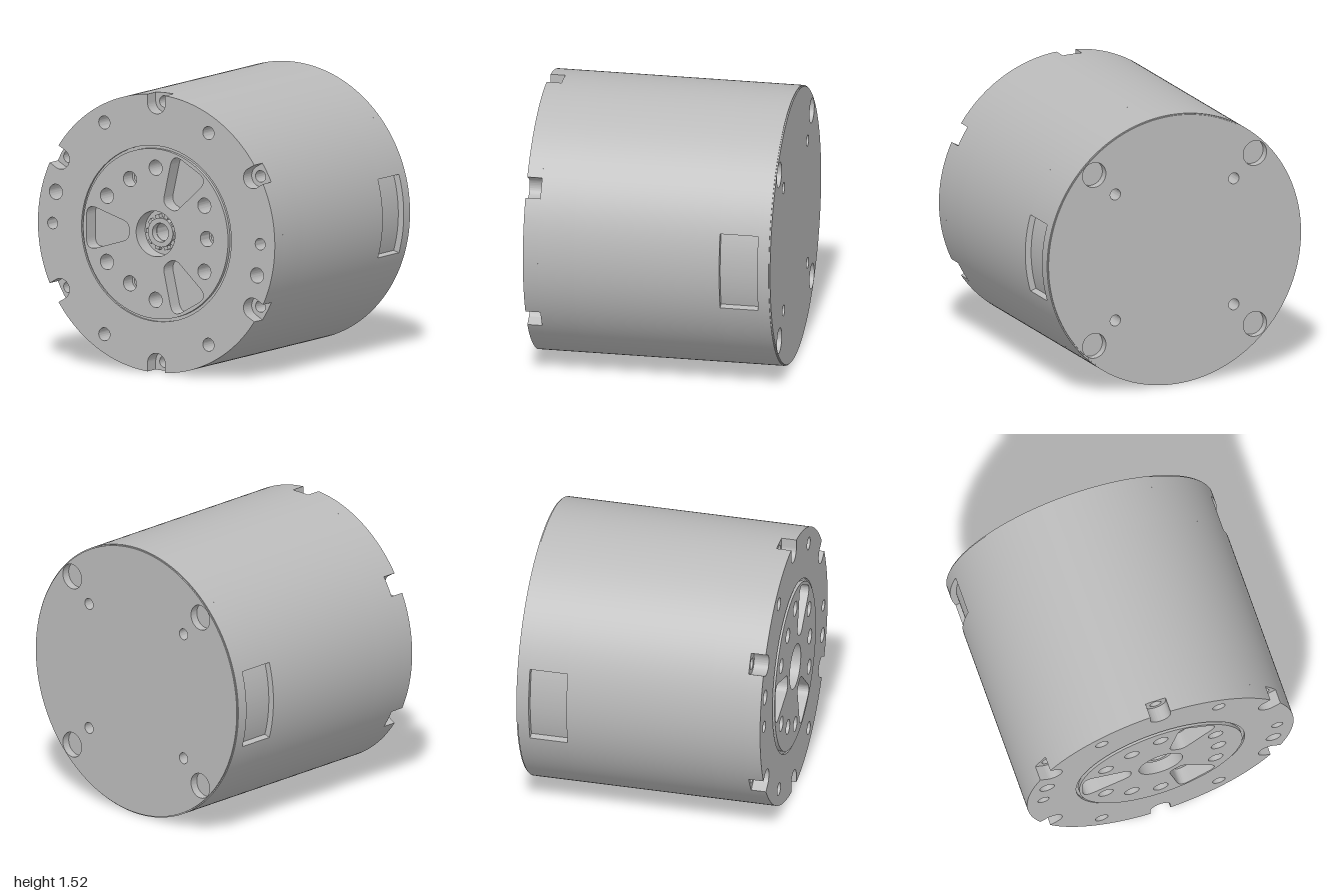
import * as THREE from 'three';
import { toCreasedNormals } from 'three/addons/utils/BufferGeometryUtils.js';

const R = 0.762, PI = Math.PI;
const rad = (d) => (d * PI) / 180;

// Full disc outline made of six arcs
function disc(r) {
  const s = new THREE.Shape();
  for (let i = 0; i < 6; i++) s.absarc(0, 0, r, rad(i * 60), rad(i * 60 + 60), false);
  return s;
}

// Disc with six U-shaped screw notches in its rim
function notchedDisc() {
  const s = new THREE.Shape(), w = 0.057, d = Math.asin(w / R), c = 0.713;
  for (let i = 0; i < 6; i++) {
    const a = rad(30 + i * 60);
    s.absarc(0, 0, R, a - rad(60) + d, a - d, false);
    s.absarc(c * Math.cos(a), c * Math.sin(a), w, a - PI / 2, a - 1.5 * PI, true);
  }
  s.closePath();
  return s;
}

// Disc with a shallow rectangular pocket on each side
function pocketDisc() {
  const s = new THREE.Shape(), d = 0.286;
  for (const a of [0, PI]) {
    s.absarc(0, 0, R - 0.035, a - d, a + d, false);
    s.absarc(0, 0, R, a + d, a + PI / 2, false);
    s.absarc(0, 0, R, a + PI / 2, a + PI - d, false);
  }
  s.closePath();
  return s;
}

function hole(x, y, r) {
  return new THREE.Path().absarc(x, y, r, 0, 2 * PI, true);
}

// Holes at given angles on a pitch circle
function ringHoles(pitch, r, degrees) {
  return degrees.map((d) => hole(pitch * Math.cos(rad(d)), pitch * Math.sin(rad(d)), r));
}

// Rounded trapezoid window pointing to the hub centre
function slot(deg) {
  const axis = new THREE.Vector2();
  const pts = [[0.17, -0.045], [0.445, -0.13], [0.445, 0.13], [0.17, 0.045]]
    .map(([x, y]) => new THREE.Vector2(x, y).rotateAround(axis, rad(deg)));
  const p = new THREE.Path();
  pts.forEach((c, i) => {
    const toward = (q, r) => c.clone().add(q.clone().sub(c).setLength(r));
    const r = i === 1 || i === 2 ? 0.07 : 0.04;
    const a = toward(pts[(i + 3) % 4], r), b = toward(pts[(i + 1) % 4], r);
    if (i === 0) p.moveTo(a.x, a.y); else p.lineTo(a.x, a.y);
    p.quadraticCurveTo(c.x, c.y, b.x, b.y);
  });
  p.closePath();
  return p;
}

export function createModel() {
  const model = new THREE.Group();
  model.name = 'motorHousing';
  const metal = new THREE.MeshStandardMaterial({ color: 0xbababa });
  metal.name = 'grey metal';

  const motor = new THREE.Group();
  motor.name = 'motor';
  model.add(motor);

  // Slab between two depths along the motor axis
  function slab(name, shape, z0, z1, holes = [], segs = 32) {
    shape.holes.push(...holes);
    const g = new THREE.ExtrudeGeometry(shape, { depth: z1 - z0, bevelEnabled: false, curveSegments: segs });
    g.translate(0, 0, z0);
    const m = new THREE.Mesh(toCreasedNormals(g, 0.5), metal);
    m.name = name;
    motor.add(m);
    return m;
  }

  const six = [0, 60, 120, 180, 240, 300];
  const sixOdd = six.map((d) => d + 30);
  const diagonals = [45, 135, 225, 315];

  // Back cover with counterbores and pin holes
  const pins = () => ringHoles(0.503, 0.031, diagonals);
  const bores = () => ringHoles(0.682, 0.07, diagonals);
  slab('backFace', disc(0.756), -0.68, -0.673, [...pins(), ...bores()]);
  slab('backCover', disc(R), -0.673, -0.635, [...pins(), ...bores()]);
  slab('backRim', disc(R), -0.635, -0.61, pins());

  // Barrel with the two side pockets
  slab('pocketBand', pocketDisc(), -0.61, -0.4, pins());
  slab('barrel', disc(R), -0.4, 0.4);

  // Hole patterns shared by the front layers
  const flangeHoles = () => [
    ...ringHoles(0.67, 0.036, [60, 120, 240, 300]),
    ...ringHoles(0.668, 0.032, [0, 180]),
    ...ringHoles(0.67, 0.042, [165, 345]),
  ];
  const hubHoles = () => [
    ...ringHoles(0.362, 0.042, sixOdd),
    ...ringHoles(0.33, 0.042, [0, 120, 240]),
  ];

  // Front layers: hole depth, then the notched flange around the hub
  slab('frontCore', disc(R), 0.4, 0.598, [
    ...ringHoles(0.713, 0.032, sixOdd), ...flangeHoles(), ...ringHoles(0.362, 0.042, sixOdd),
    ...ringHoles(0.33, 0.03, [0, 120, 240]), hole(0, 0, 0.05),
  ]);
  slab('frontFlange', notchedDisc(), 0.598, 0.68, [...flangeHoles(), hole(0, 0, 0.482)]);
  slab('grooveFloor', disc(0.482), 0.598, 0.668, [hole(0, 0, 0.464)]);
  slab('hub', disc(0.466), 0.598, 0.688, [
    ...hubHoles(), slot(60), slot(180), slot(300), hole(0, 0, 0.125),
  ]);

  // Shaft sleeve and its toothed retaining ring
  slab('shaftSleeve', disc(0.08), 0.598, 0.64, [hole(0, 0, 0.052)], 16);
  for (let i = 0; i < 10; i++) {
    const a = (i / 10) * 2 * PI;
    const tooth = new THREE.Mesh(new THREE.BoxGeometry(0.022, 0.025, 0.03), metal);
    tooth.name = 'ringTooth';
    tooth.position.set(0.088 * Math.cos(a), 0.088 * Math.sin(a), 0.613);
    tooth.rotation.z = a;
    motor.add(tooth);
  }

  // The motor lies on its side, turned toward its right
  motor.rotation.y = -PI / 6;
  motor.position.y = R;
  return model;
}
